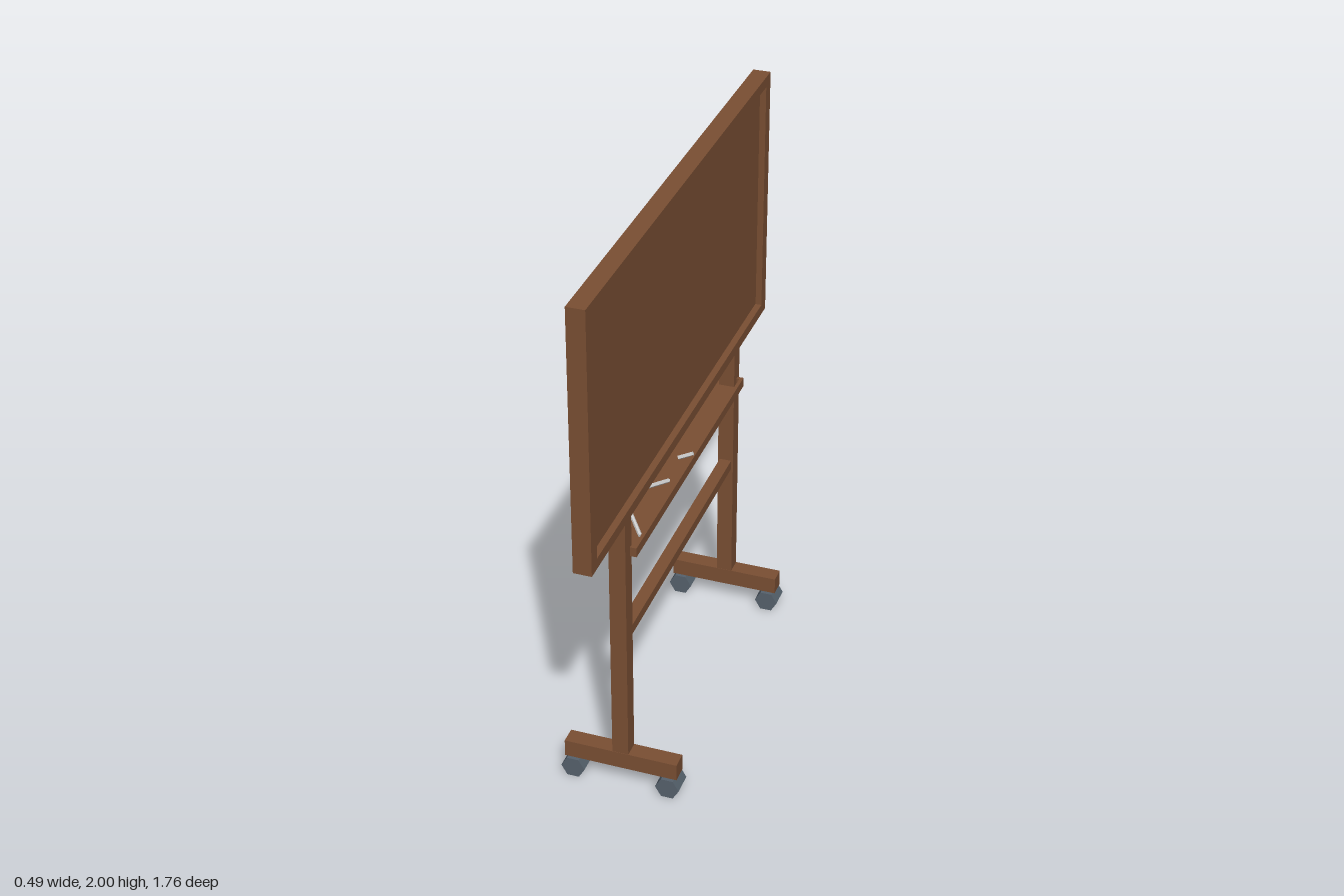
import * as THREE from 'three';

const wood = new THREE.MeshStandardMaterial({ color: 0x7a4f33, flatShading: true });
const rubber = new THREE.MeshStandardMaterial({ color: 0x56626d, flatShading: true });
const grey = new THREE.MeshStandardMaterial({ color: 0xcccccc, flatShading: true });

export function createModel() {
  const root = new THREE.Group();
  const stand = new THREE.Group();
  stand.name = 'rollingBoard';
  stand.rotation.y = 0.0565; // the whole stand is turned slightly
  stand.position.x = -0.004;
  root.add(stand);

  const add = (name, geometry, material, x, y, z) => {
    const mesh = new THREE.Mesh(geometry, material);
    mesh.name = name;
    mesh.position.set(x, y, z);
    stand.add(mesh);
    return mesh;
  };
  const box = (name, w, h, d, x, y, z, material = wood) =>
    add(name, new THREE.BoxGeometry(w, h, d), material, x, y, z);

  // Board frame: a rectangle with an opening, extruded through its thickness
  const rect = (Type, w, h) => {
    const p = new Type();
    p.moveTo(-w / 2, -h / 2);
    p.lineTo(w / 2, -h / 2);
    p.lineTo(w / 2, h / 2);
    p.lineTo(-w / 2, h / 2);
    p.closePath();
    return p;
  };
  const outline = rect(THREE.Shape, 1.764, 0.925);
  outline.holes.push(rect(THREE.Path, 1.67, 0.85));
  const frame = new THREE.ExtrudeGeometry(outline, { depth: 0.062, bevelEnabled: false });
  frame.translate(0, 0, -0.031).rotateY(Math.PI / 2);
  add('boardFrame', frame, wood, 0, 1.5375, 0);

  // Recessed panels: writing surface on one side, wooden back on the other
  box('writingPanel', 0.009, 0.85, 1.67, -0.0045, 1.54, 0, grey);
  box('backPanel', 0.009, 0.85, 1.67, 0.0045, 1.54, 0);

  // Posts, feet and hexagonal wheels
  for (const s of [1, -1]) {
    const side = s > 0 ? 'front' : 'back';
    const z = s * 0.558;
    box(side + 'Post', 0.057, 0.94, 0.057, 0, 0.607, z);
    box(side + 'Foot', 0.4, 0.063, 0.06, 0, 0.1065, z);
    for (const x of [-0.169, 0.169]) {
      const wheel = new THREE.CylinderGeometry(0.042, 0.042, 0.08, 6);
      wheel.rotateY(Math.PI / 2).rotateX(Math.PI / 2);
      // flat side down, corners pointing fore and aft
      add(side + 'Wheel', wheel, rubber, x, 0.0364, z);
    }
  }

  // Lower stretcher between the posts
  box('stretcher', 0.043, 0.036, 1.07, 0, 0.608, 0);

  // Tray: floor with a raised lip on every side
  const trayZ = -0.012, trayL = 1.114, trayW = 0.102, lip = 0.012;
  box('trayFloor', trayW - lip * 2, 0.014, trayL - lip * 2, 0, 0.933, trayZ);
  for (const s of [1, -1]) {
    box('trayLip', lip, 0.034, trayL, s * (trayW - lip) / 2, 0.943, trayZ);
    box('trayEnd', trayW - lip * 2, 0.034, lip, 0, 0.943, trayZ + s * (trayL - lip) / 2);
  }

  // Writing sticks leaning in the tray, each given by its two ends
  const sticks = [
    [[0.033, 0.95, 0.46], [-0.04, 0.984, 0.37]],
    [[0.014, 0.952, 0.13], [-0.037, 0.977, 0.236]],
    [[0.045, 0.966, -0.032], [-0.005, 0.945, -0.022]],
  ];
  for (const [a, b] of sticks) {
    const start = new THREE.Vector3(...a), end = new THREE.Vector3(...b);
    const dir = end.clone().sub(start);
    const mid = start.add(end).multiplyScalar(0.5);
    const stick = add('stick', new THREE.CylinderGeometry(0.007, 0.007, dir.length(), 6), grey, mid.x, mid.y, mid.z);
    stick.quaternion.setFromUnitVectors(new THREE.Vector3(0, 1, 0), dir.normalize());
  }
  return root;
}
